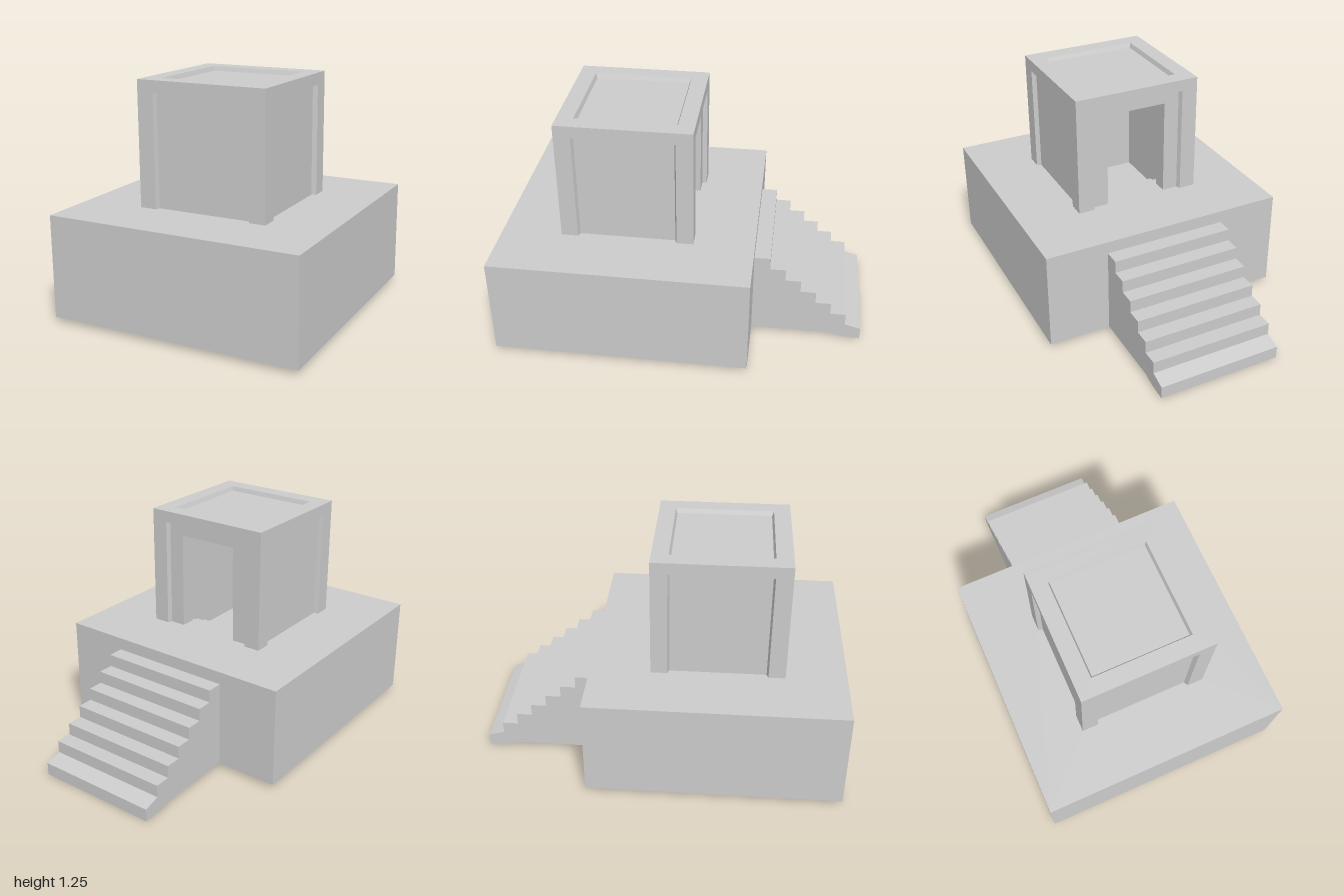
import * as THREE from 'three';

const material = new THREE.MeshStandardMaterial({ color: 0xcccccc, flatShading: true });

function add(parent, name, geometry) {
  const mesh = new THREE.Mesh(geometry, material);
  mesh.name = name;
  parent.add(mesh);
  return mesh;
}

function box(parent, name, x0, x1, y0, y1, z0, z1) {
  const g = new THREE.BoxGeometry(x1 - x0, y1 - y0, z1 - z0);
  return add(parent, name, g.translate((x0 + x1) / 2, (y0 + y1) / 2, (z0 + z1) / 2));
}

const polygon = (points) => points.map(([x, y]) => new THREE.Vector2(x, y));
const square = (r) => polygon([[-r, -r], [r, -r], [r, r], [-r, r]]);

function extrude(points, depth, hole) {
  const shape = new THREE.Shape(points);
  if (hole) shape.holes.push(new THREE.Path(hole.slice().reverse()));
  return new THREE.ExtrudeGeometry(shape, { depth, bevelEnabled: false });
}

// Horizontal square ring between two heights
const ring = (outer, inner, y0, y1) =>
  extrude(square(outer), y1 - y0, square(inner)).rotateX(-Math.PI / 2).translate(0, y0, 0);

// Upright slab with an opening that reaches the floor
const arch = (w, top, openW, openTop, bottom, depth) =>
  extrude(polygon([[-w, bottom], [-openW, bottom], [-openW, openTop], [openW, openTop],
    [openW, bottom], [w, bottom], [w, top], [-w, top]]), depth);

// Narrow a recess slightly toward its inner end
function taper(geometry, limitX, limitY, scaleY) {
  const p = geometry.attributes.position;
  for (let i = 0; i < p.count; i++) {
    if (p.getZ(i) < 0.001 && Math.abs(p.getX(i)) < limitX && p.getY(i) < limitY) {
      p.setX(i, p.getX(i) * 0.965);
      p.setY(i, p.getY(i) * scaleY);
    }
  }
  geometry.computeVertexNormals();
  return geometry;
}

export function createModel() {
  const model = new THREE.Group();
  const floor = 0.58, top = 1.255;
  const outer = 0.363, core = 0.338, inner = 0.252;

  const building = new THREE.Group();
  building.name = 'building';
  building.position.z = 0.305;
  model.add(building);

  // Base, hollow from below
  add(building, 'base', ring(0.695, 0.346, 0.025, floor));
  add(building, 'floorLedge', ring(0.346, inner, 0.43, floor));
  box(building, 'sunkenFloor', -inner, inner, 0.43, 0.46, -inner, inner);
  for (let i = 0; i < 3; i++) {
    box(building, 'innerStep', -inner, inner, 0.46, 0.55 - i * 0.03,
      -inner + i * 0.07, -inner + (i + 1) * 0.07);
  }

  // Raised frame and recessed wall on each side; the back wall has the doorway
  const frame = taper(arch(outer, top, 0.272, 1.19, floor, top - 1.23), 0.3, 1.2, 1);
  frame.translate(0, 0, core);
  ['front', 'left', 'back', 'right'].forEach((side, k) => {
    const wall = new THREE.Group();
    wall.name = side + 'Wall';
    wall.rotation.y = k * Math.PI / 2;
    building.add(wall);
    add(wall, 'frame', frame);
    if (side === 'back') {
      add(wall, 'doorway', arch(core, 1.23, 0.175, 1.125, floor, core - inner).translate(0, 0, inner));
    } else {
      const w = side === 'front' ? core : inner;
      box(wall, 'panel', -w, w, floor, 1.23, inner, core);
    }
  });

  // Roof slab with a shallow square recess
  box(building, 'roof', -inner, inner, 1.145, 1.23, -inner, inner);
  const rim = taper(extrude(square(core), top - 1.23, square(0.272)), 0.3, 0.3, 0.965);
  add(building, 'roofFrame', rim.rotateX(-Math.PI / 2).translate(0, 1.23, 0));

  // Outside stairs: side profile as (distance behind centre, height)
  const profile = [[0.38, 0.025], [0.83, 0.025], [0.9, 0.006], [1, 0], [1, 0.07], [0.912, 0.095]];
  for (let i = 0; i < 6; i++) {
    const y = 0.163 + i * 0.0695;
    profile.push([0.912 - i * 0.0868, y], [0.912 - (i + 1) * 0.0868, y]);
  }
  profile.push([0.38, profile[profile.length - 1][1]]);
  const stairs = extrude(polygon(profile), 0.695);
  add(model, 'stairs', stairs.rotateY(Math.PI / 2).translate(-0.3475, 0, 0));

  return model;
}
